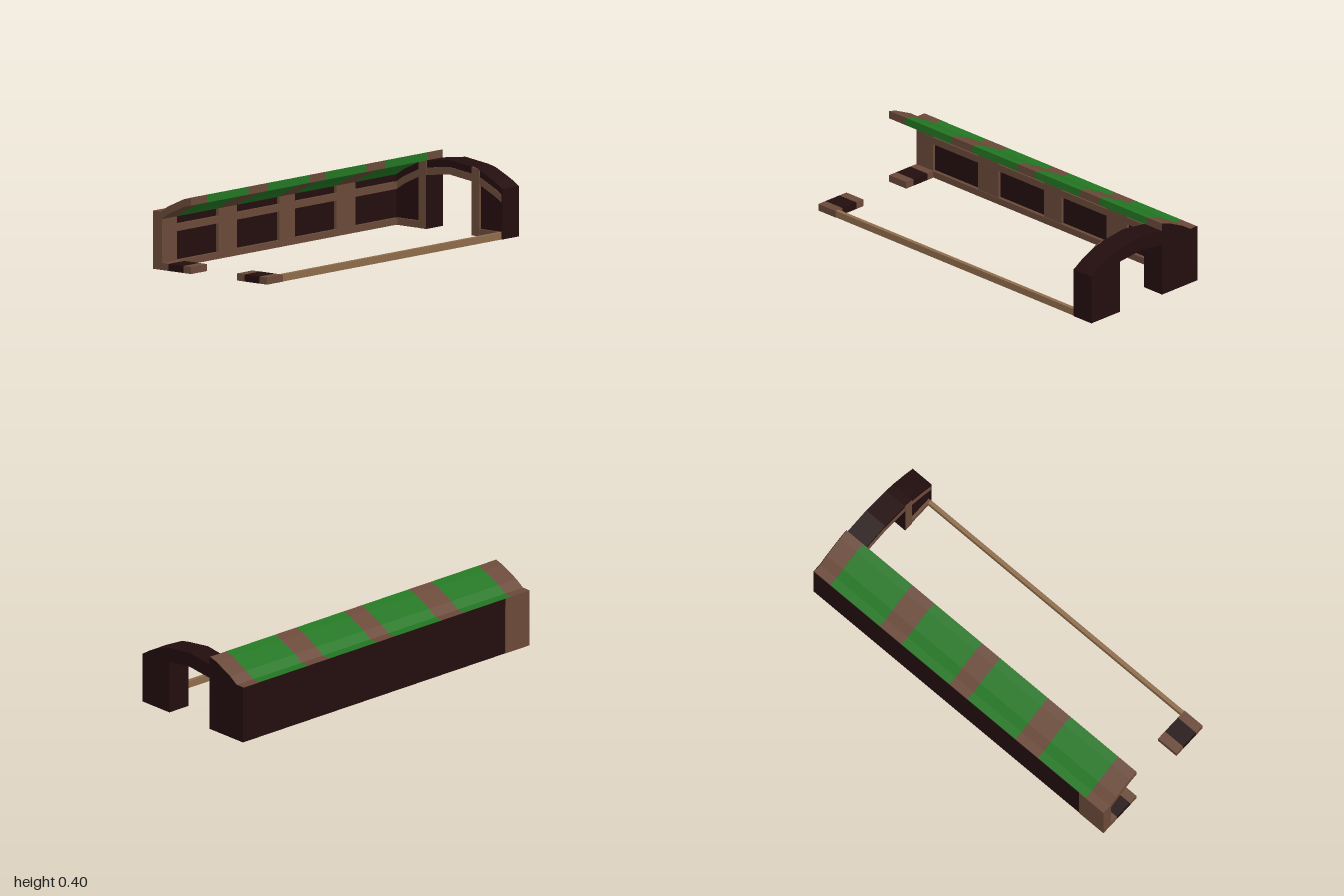
import * as THREE from 'three';

const paint = (name, color) => {
  const m = new THREE.MeshStandardMaterial({ color });
  m.name = name;
  return m;
};

export function createModel() {
  const model = new THREE.Group();
  model.name = 'barnHall';
  const timber = paint('brownTimber', 0x6a4938);
  const dark = paint('darkPlank', 0x230d0e);
  const green = paint('greenRoof', 0x237623);
  const tan = paint('tanRail', 0x8f6c4b);

  // Box given by its limits on each axis
  function box(name, mat, x0, x1, y0, y1, z0, z1) {
    const mesh = new THREE.Mesh(new THREE.BoxGeometry(x1 - x0, y1 - y0, z1 - z0), mat);
    mesh.position.set((x0 + x1) / 2, (y0 + y1) / 2, (z0 + z1) / 2);
    mesh.name = name;
    model.add(mesh);
  }
  // Outline in x and y, extruded along z
  function slab(name, mat, points, z0, z1) {
    const shape = new THREE.Shape(points.map(([x, y]) => new THREE.Vector2(x, y)));
    const geo = new THREE.ExtrudeGeometry(shape, { depth: z1 - z0, bevelEnabled: false });
    geo.translate(0, 0, z0);
    const mesh = new THREE.Mesh(geo, mat);
    mesh.name = name;
    model.add(mesh);
  }

  // Arch curve, symmetric about the doorway centre
  const MID = 0.025;
  const half = [[0, 0.378], [0.155, 0.358], [0.205, 0.346], [0.31, 0.296], [0.36, 0.264]];
  const arch = [...half.slice(1).reverse().map(([d, y]) => [MID - d, y]), ...half.map(([d, y]) => [MID + d, y])];
  const lowered = (pts, drop) => pts.map(([x, y]) => [x, y - drop]);
  const band = (pts, top, bottom) => [...lowered(pts, top), ...lowered(pts, bottom).reverse()];

  // Back wall with the doorway
  const FRONT = -0.87, PANEL = -0.884;
  slab('backWall', dark, [
    [-0.385, 0], [-0.13, 0], [-0.13, 0.283], [MID, 0.3], [0.18, 0.283], [0.18, 0],
    [0.385, 0], ...arch.slice().reverse(), [-0.385, 0.264],
  ], -1, PANEL);

  // Timber framing on the inner face of the back wall
  slab('archBeam', timber, band(arch, 0.037, 0.076), PANEL, FRONT);
  slab('archTopBoard', dark, band(arch, 0, 0.037), PANEL, FRONT - 0.004);
  for (const s of [-1, 1]) {
    const a = MID + s * 0.155, b = MID + s * 0.205;
    slab('doorPost', timber, [[a, 0], [b, 0], [b, 0.346], [a, 0.358]], PANEL, FRONT + 0.003);
    // Dark lining of the door jamb
    box('jambLining', dark, Math.min(a, a - s * 0.002), Math.max(a, a - s * 0.002), 0, 0.283, -1, FRONT + 0.002);
    const e = MID + s * 0.36;
    box('backSkirting', timber, Math.min(b, e), Math.max(b, e), 0, 0.037, PANEL, FRONT);
  }
  box('backWallEnd', dark, 0.381, 0.386, 0, 0.264, -1, FRONT + 0.001);
  slab('archCap', dark, band(arch.slice(3), 0, 0.004), -1, FRONT);

  // Long side wall
  box('sideWall', dark, -0.385, -0.345, 0, 0.264, -1, 0.88);
  box('sideWallEnd', timber, -0.385, -0.335, 0, 0.264, 0.88, 1);
  box('outerEndPlate', timber, -0.387, -0.384, 0, 0.305, 0.83, 1);
  box('outerEavesPlate', dark, -0.387, -0.384, 0.26, 0.303, -1, 0.83);
  box('sideSkirting', timber, -0.345, -0.325, 0.002, 0.037, FRONT, 1);
  box('sideBeam', timber, -0.345, -0.328, 0.188, 0.226, FRONT, 1);
  for (const [z0, z1] of [[-0.54, -0.39], [-0.06, 0.065], [0.4, 0.55], [0.88, 1]]) {
    box('sidePost', timber, -0.345, -0.329, 0.037, 0.264, z0, z1);
  }

  // Half roof: green bays between timber ribs
  const roof = [
    [-0.385, 0.264], [-0.335, 0.264], [-0.285, 0.296], [-0.18, 0.346], [-0.13, 0.358],
    [-0.13, 0.4], [-0.18, 0.386], [-0.285, 0.338], [-0.335, 0.305], [-0.385, 0.305],
  ];
  const cuts = [-0.997, -0.885, -0.545, -0.395, -0.065, 0.06, 0.39, 0.545, 0.875, 1];
  for (let i = 0; i < cuts.length - 1; i++) {
    slab(i % 2 ? 'roofBay' : 'roofRib', i % 2 ? green : timber, roof, cuts[i], cuts[i + 1]);
  }
  slab('roofBackEnd', dark, roof, -1, -0.997);

  // Front sills, with a dark stretch in the middle of each
  for (const [x0, a, b, x1] of [[-0.335, -0.283, -0.182, -0.13], [0.18, 0.232, 0.333, 0.385]]) {
    box('frontSill', timber, x0, a, 0, 0.037, 0.875, 1);
    box('frontSillMiddle', dark, a, b, 0, 0.037, 0.875, 1);
    box('frontSill', timber, b, x1, 0, 0.037, 0.875, 1);
  }

  // Low rail along the open side
  box('sideRail', tan, 0.36, 0.382, 0, 0.037, FRONT, 0.875);

  return model;
}
